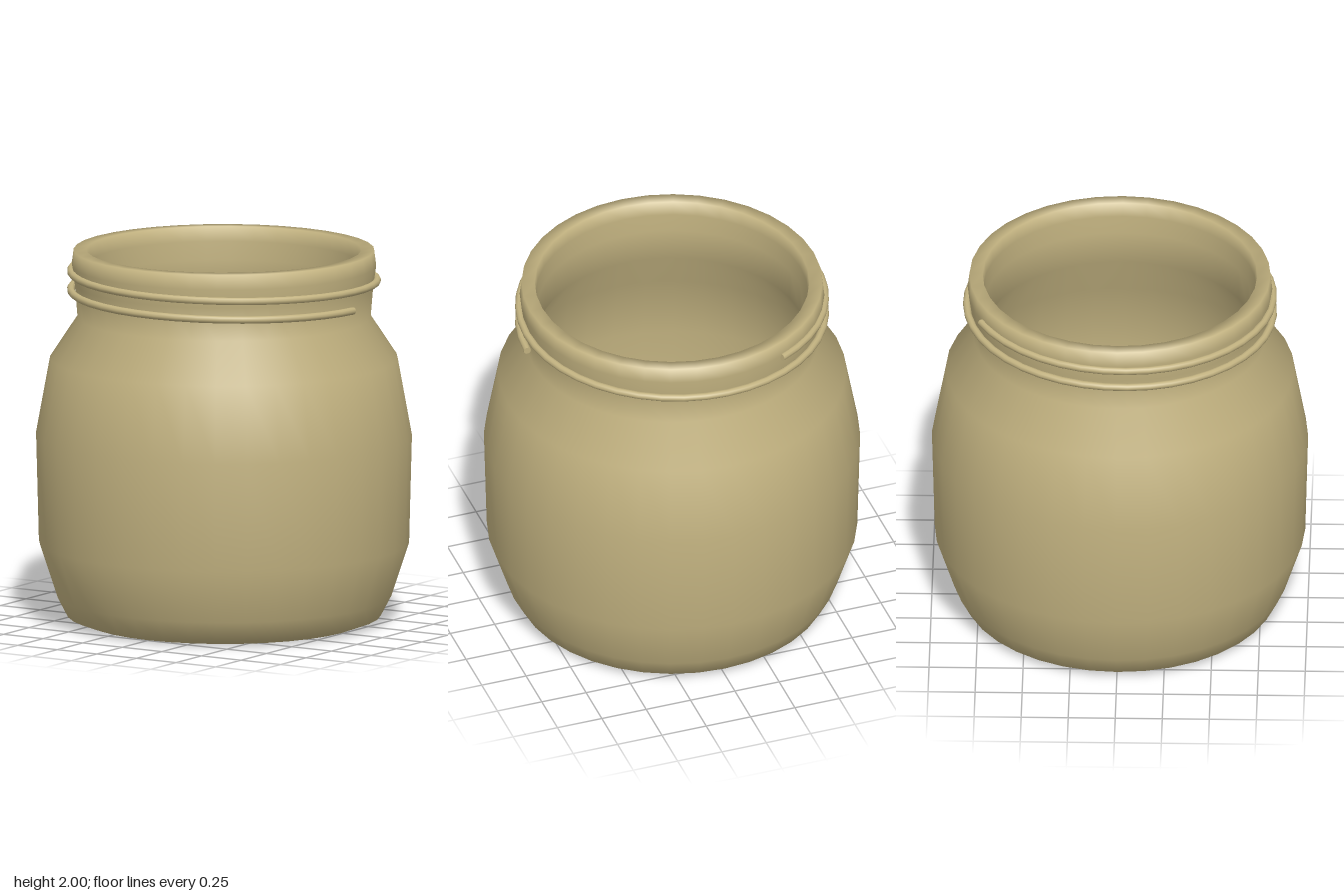
import * as THREE from 'three';

const SIDES = 36;

// Rising spiral around the neck: starts at +x and runs towards +z
class Spiral extends THREE.Curve {
  constructor(radius, y, turns, pitch) {
    super();
    Object.assign(this, { radius, y, turns, pitch });
  }
  getPoint(t, target = new THREE.Vector3()) {
    const a = t * this.turns * Math.PI * 2;
    return target.set(Math.cos(a) * this.radius, this.y + t * this.turns * this.pitch, Math.sin(a) * this.radius);
  }
}

export function createModel() {
  const group = new THREE.Group();
  group.name = 'jar';
  const clay = new THREE.MeshStandardMaterial({ color: 0xc2b280 });
  clay.name = 'sand';

  const add = (name, geometry) => {
    const mesh = new THREE.Mesh(geometry, clay);
    mesh.name = name;
    group.add(mesh);
    return mesh;
  };

  // Wall: up the outside, over the lip and down the inside
  const profile = [
    [0.74, 0], [0.835, 0.035], [0.89, 0.14], [0.985, 0.43], [1, 1.01], [0.925, 1.42],
    [0.78, 1.64], [0.795, 1.82], [0.81, 1.92], [0.8, 2],
    [0.73, 2], [0.725, 1.92], [0.72, 1.82], [0.72, 1.64],
    [0.86, 1.39], [0.93, 1.01], [0.915, 0.44], [0.83, 0.17], [0.78, 0.09], [0.72, 0.07],
  ].map(([x, y]) => new THREE.Vector2(x, y));
  add('wall', new THREE.LatheGeometry(profile, SIDES));

  // Flat discs closing the underside and the inside
  add('base', new THREE.CircleGeometry(0.74, SIDES).rotateX(Math.PI / 2));
  add('innerFloor', new THREE.CircleGeometry(0.72, SIDES).rotateX(-Math.PI / 2)).position.y = 0.07;

  // Screw thread with closed ends
  const spiral = new Spiral(0.815, 1.745, 1.677, 0.1);
  add('thread', new THREE.TubeGeometry(spiral, 72, 0.02, 10));
  for (const [t, sign] of [[0, -1], [1, 1]]) {
    const cap = add('threadEnd', new THREE.CircleGeometry(0.02, 10));
    const end = spiral.getPoint(t);
    cap.position.copy(end);
    cap.lookAt(end.clone().addScaledVector(spiral.getTangent(t), sign));
  }
  return group;
}
